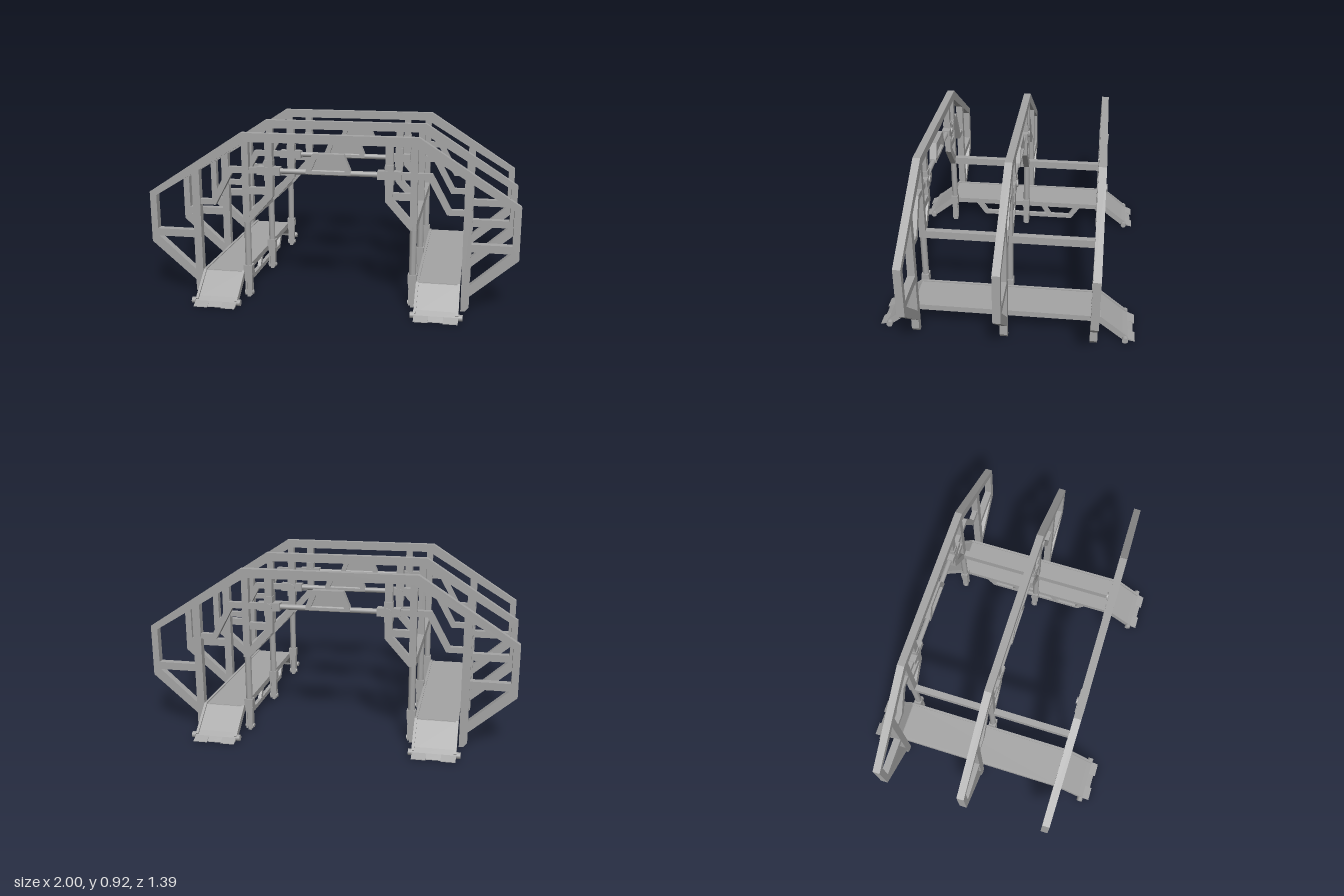
import * as THREE from 'three';

const steel = new THREE.MeshStandardMaterial({ color: 0xa5a5a5 });
steel.name = 'steel grey';

export function createModel() {
  const model = new THREE.Group();
  model.name = 'archedWalkway';

  const add = (parent, name, geo, x = 0, y = 0, z = 0) => {
    const m = new THREE.Mesh(geo, steel);
    m.name = name;
    m.position.set(x, y, z);
    parent.add(m);
    return m;
  };
  // box given by its ranges
  const box = (parent, name, x0, x1, y0, y1, z0, z1) =>
    add(parent, name, new THREE.BoxGeometry(Math.abs(x1 - x0), y1 - y0, Math.abs(z1 - z0)),
      (x0 + x1) / 2, (y0 + y1) / 2, (z0 + z1) / 2);
  // outline mirrored by s, turned to run clockwise or anticlockwise
  const outline = (pts, s, clockwise) => {
    const v = pts.map(([a, b]) => new THREE.Vector2(a * s, b));
    return THREE.ShapeUtils.isClockWise(v) === clockwise ? v : v.reverse();
  };
  const extrude = (pts, depth, s, holes) => {
    const shape = new THREE.Shape(outline(pts, s, false));
    holes.forEach(h => shape.holes.push(new THREE.Path(outline(h, s, true))));
    return new THREE.ExtrudeGeometry(shape, { depth, bevelEnabled: false }).translate(0, 0, -depth / 2);
  };
  // plate drawn in x,y and mirrored by s
  const plate = (parent, name, pts, depth, s = 1, holes = []) =>
    add(parent, name, extrude(pts, depth, s, holes));
  // plate drawn in z,y with its thickness along x
  const sidePlate = (parent, name, pts, width, x, e = 1) =>
    add(parent, name, extrude(pts, width, e, []).rotateY(-Math.PI / 2), x);
  const rod = (parent, name, r, len, axis, x, y, z, sides = 12) => {
    const g = new THREE.CylinderGeometry(r, r, len, sides);
    if (axis === 'x') g.rotateZ(Math.PI / 2);
    if (axis === 'z') g.rotateX(Math.PI / 2);
    return add(parent, name, g, x, y, z);
  };

  // One arched frame
  const makeFrame = z => {
    const frame = new THREE.Group();
    frame.name = 'archFrame';
    frame.position.z = z;
    model.add(frame);

    for (const s of [-1, 1]) {
      // half of the arch with the side bay and outer leg
      plate(frame, 'archHalf', [[0, 0.92], [0.475, 0.92], [1, 0.58], [1, 0.297], [0.754, 0.085],
        [0.754, 0.025], [0.735, 0], [0.711, 0], [0.711, 0.713], [0.449, 0.872], [0, 0.872]], 0.041, s,
        [[[0.754, 0.687], [0.963, 0.561], [0.963, 0.372], [0.754, 0.372]],
          [[0.754, 0.33], [0.957, 0.33], [0.754, 0.147]]]);

      // inner leg with collar and forked foot
      box(frame, 'innerLegUpper', s * 0.47, s * 0.433, 0.43, 0.885, -0.018, 0.018);
      rod(frame, 'innerLegLower', 0.019, 0.3, 'y', s * 0.452, 0.3, 0, 8);
      box(frame, 'legCollar', s * 0.476, s * 0.428, 0.135, 0.185, -0.021, 0.021);
      box(frame, 'legSocket', s * 0.472, s * 0.432, 0.11, 0.135, -0.018, 0.018);
      for (const d of [-0.014, 0.014])
        box(frame, 'footFork', s * 0.452 + d - 0.005, s * 0.452 + d + 0.005, 0.012, 0.11, -0.017, 0.017);
      box(frame, 'footTongue', s * 0.452 - 0.009, s * 0.452 + 0.009, 0.0, 0.11, -0.013, 0.013);
      rod(frame, 'footPin', 0.012, 0.05, 'x', s * 0.452, 0.025, 0);

      // hanger post and its knee brace
      plate(frame, 'hangerPost', [[0.342, 0.885], [0.302, 0.885], [0.302, 0.578], [0.433, 0.43],
        [0.433, 0.49], [0.342, 0.592]], 0.034, s);
      box(frame, 'kneeStrut', s * 0.435, s * 0.34, 0.588, 0.626, -0.015, 0.015);

      // cranked arm from the outer leg to the coupling
      plate(frame, 'crankedArm', [[0.34, 0.735], [0.545, 0.735], [0.645, 0.55], [0.712, 0.55],
        [0.712, 0.52], [0.625, 0.52], [0.525, 0.702], [0.34, 0.702]], 0.03, s);

      // cross-shaped coupling
      box(frame, 'couplingSleeve', s * 0.385, s * 0.26, 0.697, 0.741, -0.024, 0.024);
      box(frame, 'couplingCollar', s * 0.345, s * 0.299, 0.667, 0.775, -0.022, 0.022);
      rod(frame, 'couplingBolt', 0.02, 0.056, 'z', s * 0.322, 0.719, -0.004);
    }

    // tie bar with the central trapezoid housing
    rod(frame, 'tieBar', 0.015, 0.56, 'x', 0, 0.719, 0, 12);
    plate(frame, 'housingRim', [[-0.12, 0.712], [0.12, 0.712], [0.118, 0.735], [0.083, 0.82],
      [-0.083, 0.82], [-0.118, 0.735]], 0.04, 1,
      [[[-0.09, 0.728], [0.09, 0.728], [0.062, 0.795], [-0.062, 0.795]]]);
    plate(frame, 'housingPanel', [[-0.092, 0.726], [0.092, 0.726], [0.064, 0.797], [-0.064, 0.797]], 0.008);
  };
  [0.488, 0.007, -0.474].forEach(makeFrame);

  for (const s of [-1, 1]) {
    // long tie rail joining the frames
    box(model, 'longRail', s * 0.47, s * 0.435, 0.428, 0.472, -0.474, 0.488);

    // walkway deck
    const deck = new THREE.Group();
    deck.name = 'walkway';
    model.add(deck);
    box(deck, 'deckPanel', s * 0.7, s * 0.48, 0.136, 0.147, -0.5, 0.5);
    for (const x of [0.698, 0.48])
      box(deck, 'deckEdge', s * (x - 0.007), s * (x + 0.007), 0.12, 0.152, -0.5, 0.5);

    // hanging truss below the inner edge
    const tx = s * 0.495;
    sidePlate(deck, 'trussChord', [[-0.35, 0.122], [-0.29, 0.035], [0.29, 0.035], [0.35, 0.122],
      [0.308, 0.122], [0.272, 0.06], [-0.272, 0.06], [-0.308, 0.122]], 0.022, tx);
    for (const e of [-1, 1])
      sidePlate(deck, 'trussBrace', [[0.085, 0.122], [0.118, 0.122], [0.16, 0.056], [0.125, 0.056]], 0.02, tx, e);

    // underside cross members and diagonals
    for (const z of [-0.49, -0.33, 0, 0.33, 0.49])
      box(deck, 'deckCrossMember', s * 0.695, s * 0.485, 0.12, 0.138, z - 0.012, z + 0.012);
    for (const e of [-1, 1]) {
      const brace = add(deck, 'deckDiagonal',
        new THREE.BoxGeometry(0.21, 0.018, 0.02), s * 0.59, 0.129, e * 0.15);
      brace.rotation.y = -s * e * Math.atan2(0.1, 0.19);
    }

    // hinged ramps at both ends
    for (const e of [-1, 1]) {
      const ramp = new THREE.Group();
      ramp.name = 'ramp';
      model.add(ramp);
      sidePlate(ramp, 'rampPanel', [[0.49, 0.147], [0.505, 0.143], [0.64, 0.032], [0.635, 0.022],
        [0.5, 0.133], [0.49, 0.136]], 0.21, s * 0.59, e);
      for (const x of [0.698, 0.48])
        sidePlate(ramp, 'rampEdge', [[0.49, 0.152], [0.507, 0.152], [0.655, 0.032], [0.632, 0.008],
          [0.49, 0.12]], 0.014, s * x, e);
      // notched toe lip
      const lip = tip => [[0.625, 0.044], [0.655, 0.022], [tip, 0.003], [tip, 0], [0.635, 0.012]];
      for (const x of [0.666, 0.514]) sidePlate(ramp, 'toeLip', lip(0.695), 0.076, s * x, e);
      sidePlate(ramp, 'toeLipNotch', lip(0.685), 0.076, s * 0.59, e);
      // hinge pin with end knobs
      rod(ramp, 'hingePin', 0.009, 0.25, 'x', s * 0.59, 0.018, e * 0.642);
      for (const x of [0.716, 0.467])
        rod(ramp, 'hingeKnob', 0.017, 0.022, 'x', s * x, 0.018, e * 0.642);
    }
  }
  return model;
}
